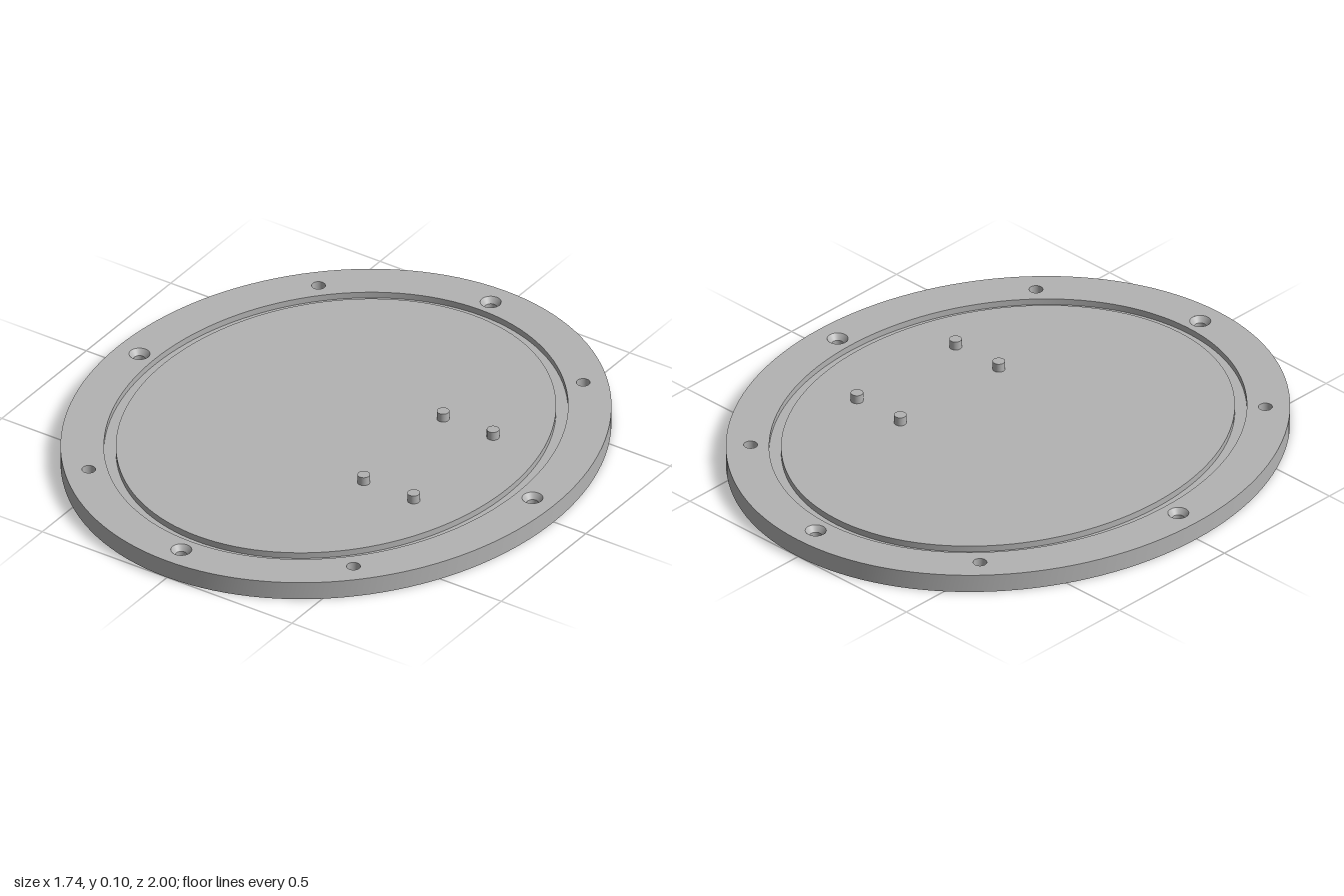
import * as THREE from 'three';

const T = 0.065;          // plate thickness
const GROOVE_Y = 0.043;   // groove floor height
const BLIND_Y = 0.03;     // blind hole floor height

const OUTER = [0.872, 1.0];
const GROOVE_OUT = [0.727, 0.857];
const GROOVE_IN = [0.687, 0.817];

const SCREWS = [[0, 0.916], [0, -0.916], [0.787, 0], [-0.787, 0]];
const BLINDS = [[0.53, 0.68], [0.53, -0.68], [-0.53, 0.68], [-0.53, -0.68]];
const PINS = [[0.27, 0.235], [0.27, -0.235], [0.47, 0.235], [0.47, -0.235]];
const SCREW_R = 0.02, SINK_R = 0.035, SINK_Y = 0.045, BLIND_R = 0.023;

// Flat elliptical face with round or elliptical holes, facing up or down
function face([rx, rz], y, holes = [], up = true, cx = 0, cz = 0, seg = 64) {
  const trace = (p, x, z, a, b) => p.absellipse(x, up ? -z : z, a, b, 0, Math.PI * 2, false, 0);
  const shape = trace(new THREE.Shape(), cx, cz, rx, rz);
  for (const [x, z, a, b = a] of holes) shape.holes.push(trace(new THREE.Path(), x, z, a, b));
  const g = new THREE.ShapeGeometry(shape, seg);
  g.rotateX(up ? -Math.PI / 2 : Math.PI / 2);
  g.translate(0, y, 0);
  return g;
}

// Smooth wall between two ellipses: faces outward when rising, inward when descending
function wall([rx0, rz0], y0, [rx1, rz1], y1, cx = 0, cz = 0, n = 128) {
  const pos = [], idx = [];
  for (let i = 0; i < n; i++) {
    const c = Math.cos(i / n * Math.PI * 2), s = Math.sin(i / n * Math.PI * 2);
    pos.push(cx + rx0 * c, y0, cz + rz0 * s, cx + rx1 * c, y1, cz + rz1 * s);
    const a = 2 * i, b = 2 * ((i + 1) % n);
    idx.push(a, a + 1, b, a + 1, b + 1, b);
  }
  const g = new THREE.BufferGeometry();
  g.setAttribute('position', new THREE.Float32BufferAttribute(pos, 3));
  g.setIndex(idx);
  g.computeVertexNormals();
  return g;
}

export function createModel() {
  const metal = new THREE.MeshStandardMaterial({ color: 0xb3b3b3 });
  metal.name = 'grey metal';
  const model = new THREE.Group();
  model.name = 'ovalCoverPlate';
  const add = (name, geometry) => {
    const mesh = new THREE.Mesh(geometry, metal);
    mesh.name = name;
    model.add(mesh);
    return mesh;
  };
  const ringHoles = (list, r) => list.map(([x, z]) => [x, z, r]);

  // Plate body
  add('outerEdge', wall(OUTER, 0, OUTER, T));
  add('underside', face(OUTER, 0, ringHoles(SCREWS, SCREW_R), false));
  add('rimTop', face(OUTER, T, [
    [0, 0, ...GROOVE_OUT], ...ringHoles(SCREWS, SINK_R), ...ringHoles(BLINDS, BLIND_R),
  ]));
  add('centreTop', face(GROOVE_IN, T));

  // Seal groove
  add('grooveOuterWall', wall(GROOVE_OUT, T, GROOVE_OUT, GROOVE_Y));
  add('grooveInnerWall', wall(GROOVE_IN, GROOVE_Y, GROOVE_IN, T));
  add('grooveFloor', face(GROOVE_OUT, GROOVE_Y, [[0, 0, ...GROOVE_IN]]));

  // Countersunk through holes
  const sink = [SINK_R, SINK_R], bore = [SCREW_R, SCREW_R], blind = [BLIND_R, BLIND_R];
  for (const [x, z] of SCREWS) {
    add('countersink', wall(sink, T, bore, SINK_Y, x, z, 64));
    add('screwBore', wall(bore, SINK_Y, bore, 0, x, z, 64));
  }

  // Blind holes
  for (const [x, z] of BLINDS) {
    add('blindHoleWall', wall(blind, T, blind, BLIND_Y, x, z, 64));
    add('blindHoleFloor', face(blind, BLIND_Y, [], true, x, z, 32));
  }

  // Mounting pins
  for (const [x, z] of PINS) {
    add('pin', new THREE.CylinderGeometry(0.021, 0.021, 0.031, 32)).position.set(x, T + 0.0155, z);
  }
  return model;
}
